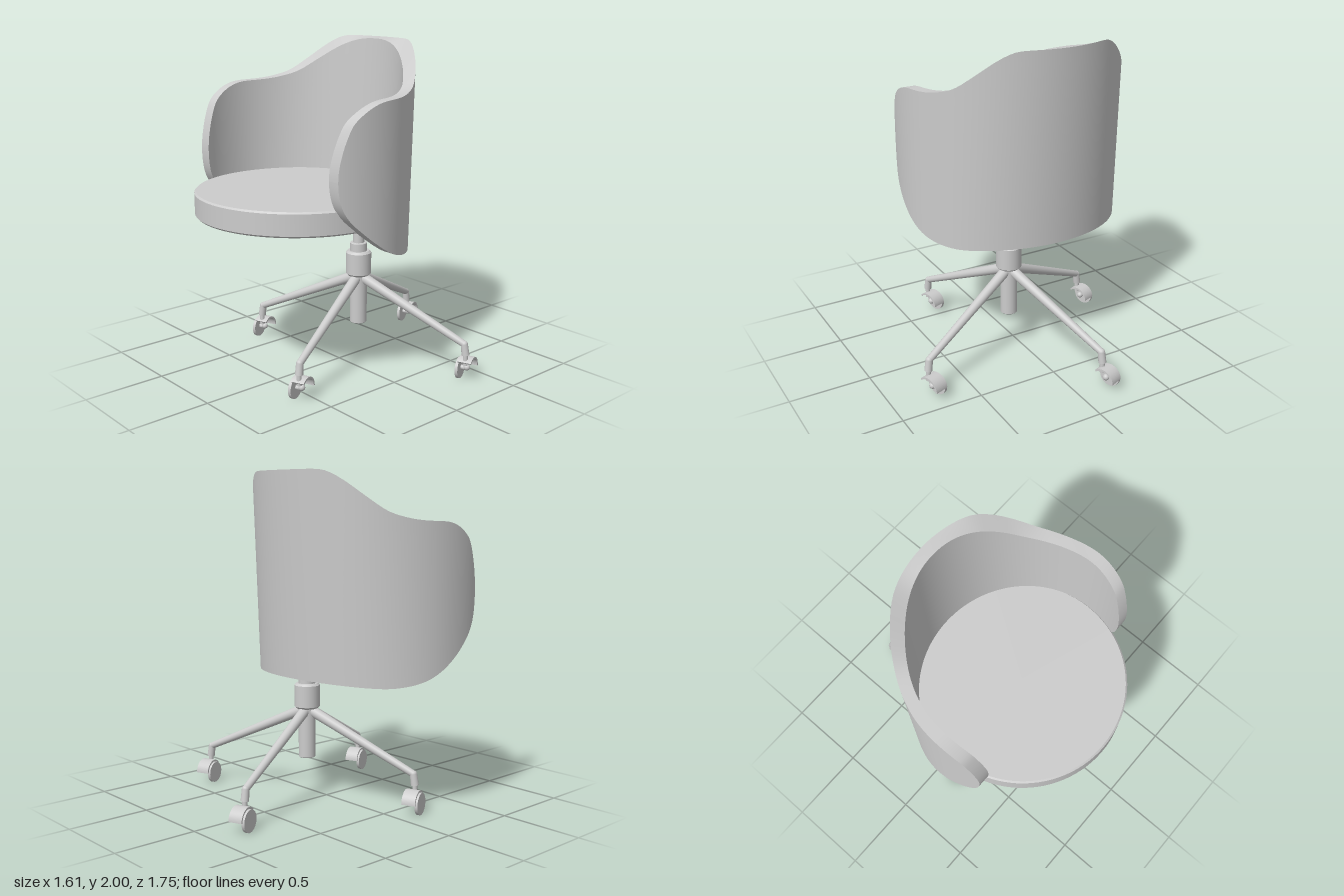
import * as THREE from 'three';

const grey = new THREE.MeshStandardMaterial({ color: 0xcccccc });
grey.name = 'light grey';

const V = (x, y, z) => new THREE.Vector3(x, y, z);

function add(parent, name, geometry, x = 0, y = 0, z = 0) {
  const mesh = new THREE.Mesh(geometry, grey);
  mesh.name = name;
  mesh.position.set(x, y, z);
  parent.add(mesh);
  return mesh;
}

// Round rod between two points, optionally tapered
function rod(parent, name, a, b, ra, rb = ra, sides = 20) {
  const mesh = add(parent, name, new THREE.CylinderGeometry(rb, ra, a.distanceTo(b), sides));
  mesh.position.copy(a).add(b).multiplyScalar(0.5);
  mesh.quaternion.setFromUnitVectors(V(0, 1, 0), b.clone().sub(a).normalize());
}

// Turned solid with small bevels at both ends
function turned(r, y0, y1, bevel, sides) {
  const g = new THREE.CylinderGeometry(r, r, y1 - y0 - 2 * bevel, sides, 1, true).toNonIndexed();
  const cap = (ya, ra, yb, rb) => {
    const c = new THREE.LatheGeometry([new THREE.Vector2(ra, ya), new THREE.Vector2(rb, yb)], sides);
    return c;
  };
  g.translate(0, (y0 + y1) / 2, 0);
  return [g, cap(y0, 0, y0, r - bevel), cap(y0, r - bevel, y0 + bevel, r),
    cap(y1 - bevel, r, y1, r - bevel), cap(y1, r - bevel, y1, 0)];
}

function addTurned(parent, name, r, y0, y1, bevel, x, z, sides = 32) {
  const part = new THREE.Group();
  part.name = name;
  part.position.set(x, 0, z);
  for (const g of turned(r, y0, y1, bevel, sides)) add(part, name + 'Face', g);
  parent.add(part);
}

// Surface from a rule point(u, v), with u and v from 0 to 1
function surface(point, nu, nv, flip) {
  const pos = [], index = [];
  for (let i = 0; i <= nu; i++)
    for (let j = 0; j <= nv; j++) pos.push(...point(i / nu, j / nv).toArray());
  for (let i = 0; i < nu; i++)
    for (let j = 0; j < nv; j++) {
      const a = i * (nv + 1) + j, b = a + nv + 1;
      if (flip) index.push(a, b + 1, b, a, a + 1, b + 1);
      else index.push(a, b, b + 1, a, b + 1, a + 1);
    }
  const g = new THREE.BufferGeometry();
  g.setAttribute('position', new THREE.Float32BufferAttribute(pos, 3));
  g.setIndex(index);
  g.computeVertexNormals();
  return g;
}

// Side outline of the shell as [z, y], from the front tip to the back
const TIP = 0.49;
const topEdge = [[0.49, 1.3], [0.475, 1.42], [0.44, 1.53], [0.405, 1.6], [0.35, 1.65], [0.27, 1.693], [0.19, 1.713],
  [0.03, 1.722], [-0.07, 1.738], [-0.167, 1.775], [-0.257, 1.855], [-0.37, 1.98], [-0.4, 1.998], [-0.46, 2]];
const bottomEdge = [[0.49, 1.3], [0.475, 1.18], [0.43, 1.09], [0.35, 1.01], [0.22, 0.91], [0.087, 0.84],
  [-0.02, 0.808], [-0.15, 0.79], [-0.257, 0.792], [-0.46, 0.81]];

// Smooth height of an outline at z, rounded at the tip
function edgeHeight(edge, z) {
  const s = (k) => Math.sqrt(Math.max(0, TIP - edge[k][0]));
  const x = Math.sqrt(Math.max(0, TIP - z)), n = edge.length - 1;
  let i = 0;
  while (i < n - 1 && x > s(i + 1)) i++;
  const slope = (k) => {
    const a = Math.max(0, k - 1), b = Math.min(n, k + 1);
    return (edge[b][1] - edge[a][1]) / (s(b) - s(a));
  };
  const h = s(i + 1) - s(i), t = Math.min(1, (x - s(i)) / h), t2 = t * t, t3 = t2 * t;
  return (2 * t3 - 3 * t2 + 1) * edge[i][1] + (t3 - 2 * t2 + t) * h * slope(i)
    + (3 * t2 - 2 * t3) * edge[i + 1][1] + (t3 - t2) * h * slope(i + 1);
}

const CX = -0.1, CZ = 0.243, OUTER = 0.697, INNER = 0.627;

// Point on a shell wall: u runs round the back, v from bottom to top edge
function wall(radius, u, v) {
  const reach = Math.PI - Math.acos((TIP - CZ) / radius);
  const a = reach * Math.sin((u - 0.5) * Math.PI);
  const z = -radius * Math.cos(a);
  const y = THREE.MathUtils.lerp(edgeHeight(bottomEdge, CZ + z), edgeHeight(topEdge, CZ + z), v);
  const lean = z < 0 ? 1 - 0.078 * (2 - y) : 1;
  return V(CX + radius * Math.sin(a), y, CZ + z * lean);
}

function makeShell() {
  const shell = new THREE.Group();
  shell.name = 'backShell';
  const rim = (v) => (u, w) => wall(OUTER, u, v).lerp(wall(INNER, u, v), w);
  add(shell, 'outerWall', surface((u, v) => wall(OUTER, u, v), 120, 16, true));
  add(shell, 'innerWall', surface((u, v) => wall(INNER, u, v), 120, 16, false));
  add(shell, 'topRim', surface(rim(1), 120, 1, true));
  add(shell, 'bottomRim', surface(rim(0), 120, 1, false));
  return shell;
}

// Thin wheel under an open curved hood; local x points backward, z along the axle
function makeCaster() {
  const caster = new THREE.Group();
  caster.name = 'caster';
  const arc = new THREE.Shape();
  const end = Math.PI * 0.75;
  arc.absarc(0, 0, 0.075, 0, end, false);
  arc.absarc(0, 0, 0.064, end, 0, true);
  add(caster, 'hood', new THREE.ExtrudeGeometry(arc, { depth: 0.085, bevelEnabled: false, curveSegments: 20 }),
    0.03, 0.07, -0.042);
  const wheel = add(caster, 'wheel', new THREE.CylinderGeometry(0.066, 0.066, 0.018, 28), 0.03, 0.066, -0.045);
  wheel.rotation.x = Math.PI / 2;
  rod(caster, 'axle', V(0.03, 0.07, -0.045), V(0.03, 0.07, 0.0), 0.014);
  add(caster, 'axleKnob', new THREE.SphereGeometry(0.02, 16, 10), 0.03, 0.075, 0);
  rod(caster, 'stem', V(0, 0.1, 0), V(0, 0.18, 0), 0.015);
  return caster;
}

export function createModel() {
  const chair = new THREE.Group();
  chair.name = 'swivelChair';
  chair.add(makeShell());

  // Round seat
  addTurned(chair, 'seat', 0.624, 0.99, 1.135, 0.01, -0.09, 0.24, 96);

  // Centre column
  const X = 0.08, Z = -0.09;
  addTurned(chair, 'lowerTube', 0.053, 0.25, 0.57, 0.004, X, Z);
  addTurned(chair, 'hub', 0.079, 0.56, 0.717, 0.012, X, Z);
  addTurned(chair, 'collar', 0.053, 0.71, 0.77, 0.004, X, Z);
  addTurned(chair, 'liftRod', 0.035, 0.76, 0.99, 0.002, X, Z);

  // Tilt mechanism and lever
  add(chair, 'mountingPlate', new THREE.BoxGeometry(0.32, 0.05, 0.3), 0.06, 0.966, Z);
  add(chair, 'mechanismBox', new THREE.BoxGeometry(0.19, 0.08, 0.17), 0.075, 0.9, Z);
  const leverPath = new THREE.CatmullRomCurve3([V(0.02, 0.93, -0.05), V(-0.07, 0.91, 0), V(-0.18, 0.873, 0.06)]);
  add(chair, 'leverArm', new THREE.TubeGeometry(leverPath, 16, 0.009, 10));
  const gripPath = new THREE.CatmullRomCurve3([V(-0.17, 0.877, 0.055), V(-0.25, 0.86, 0.09), V(-0.36, 0.857, 0.115), V(-0.455, 0.853, 0.12)]);
  add(chair, 'leverGrip', new THREE.TubeGeometry(gripPath, 20, 0.015, 12));
  add(chair, 'leverTip', new THREE.SphereGeometry(0.015, 12, 8), -0.455, 0.853, 0.12);

  // Four splayed legs; the casters all roll the same way
  for (let i = 0; i < 4; i++) {
    const a = THREE.MathUtils.degToRad(20) + i * Math.PI / 2;
    const at = (r, y) => V(X + r * Math.cos(a), y, Z - r * Math.sin(a));
    const leg = new THREE.Group();
    leg.name = 'leg';
    rod(leg, 'legArm', at(0.03, 0.545), at(0.715, 0.232), 0.033, 0.021);
    add(leg, 'legElbow', new THREE.SphereGeometry(0.022, 16, 10)).position.copy(at(0.715, 0.232));
    rod(leg, 'legFoot', at(0.725, 0.165), at(0.715, 0.232), 0.024, 0.022);
    const caster = makeCaster();
    caster.position.copy(at(0.725, 0));
    caster.rotation.y = THREE.MathUtils.degToRad(111);
    leg.add(caster);
    chair.add(leg);
  }
  return chair;
}
